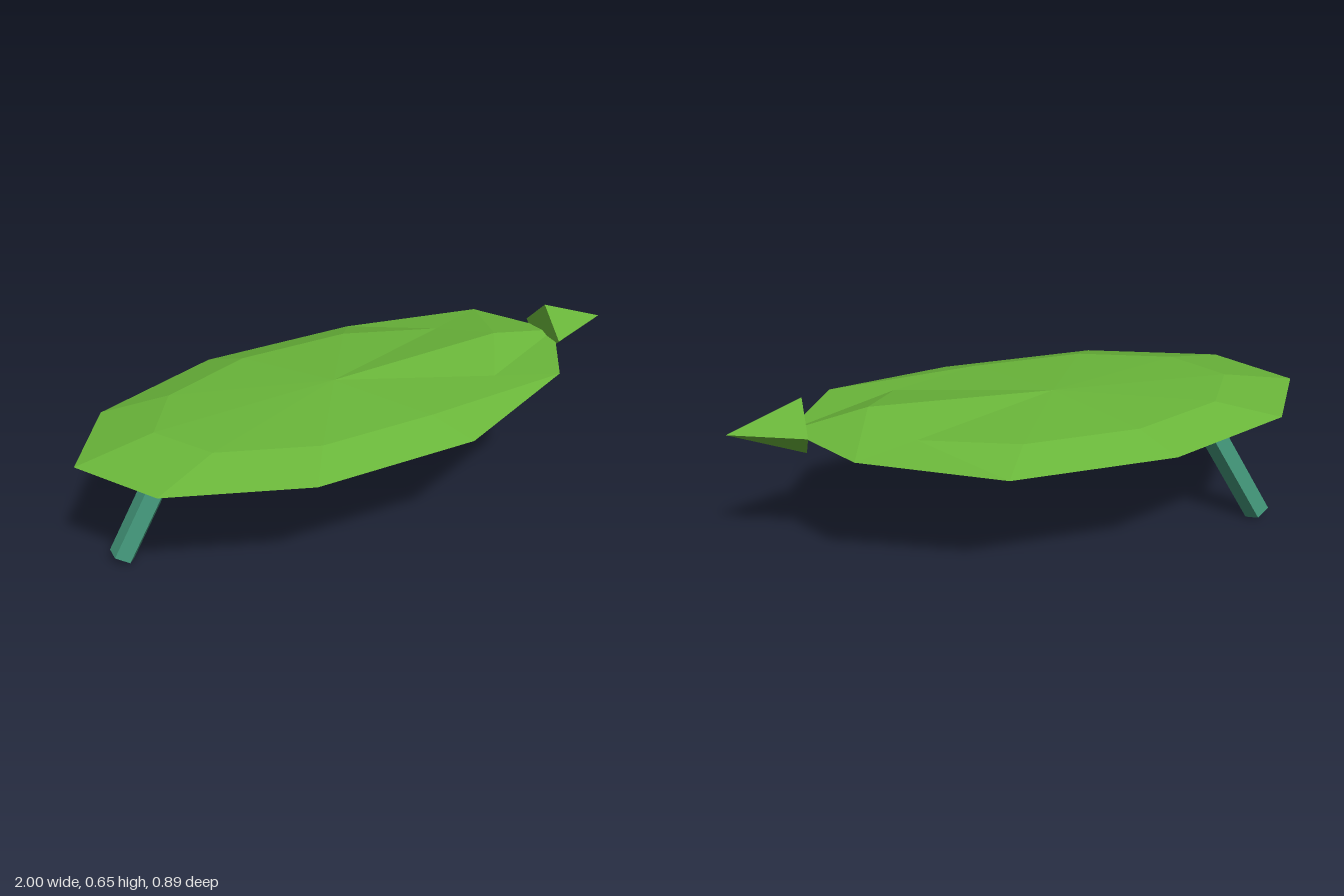
import * as THREE from 'three';

export function createModel() {
  const model = new THREE.Group();
  const leafGreen = new THREE.MeshStandardMaterial({ name: 'leafGreen', color: 0x6ab63a, flatShading: true });
  const stemTeal = new THREE.MeshStandardMaterial({ name: 'stemTeal', color: 0x43977a, flatShading: true });

  const add = (name, geometry, material, x, y, z, tilt = 0) => {
    const mesh = new THREE.Mesh(geometry, material);
    mesh.name = name;
    mesh.position.set(x, y, z);
    mesh.rotation.z = tilt;
    model.add(mesh);
  };

  // Leaf blade: a flattened ten-sided ball, its far end lifted towards the tip
  const blade = new THREE.SphereGeometry(1, 10, 4).scale(0.9, 0.071, 0.47);
  const p = blade.attributes.position;
  for (let i = 0; i < p.count; i++) {
    if (p.getX(i) > 0.6) p.setY(i, p.getY(i) + 0.043);
  }
  blade.computeVertexNormals();
  add('leafBlade', blade, leafGreen, -0.1, 0.495, 0);

  // Pointed tip: four-sided cone aimed along +x
  add('leafTip', new THREE.ConeGeometry(0.102, 0.25, 4), leafGreen, 0.873, 0.549, 0, -Math.PI / 2);

  // Stem: five-sided rod leaning under the blade, slightly off-centre
  const length = 0.52;
  const stem = new THREE.CylinderGeometry(0.047, 0.047, length, 5, 1, false, Math.PI / 2);
  stem.translate(0, length / 2, 0);
  add('stem', stem, stemTeal, -0.861, 0.025, -0.105, -Math.PI / 6);

  return model;
}
